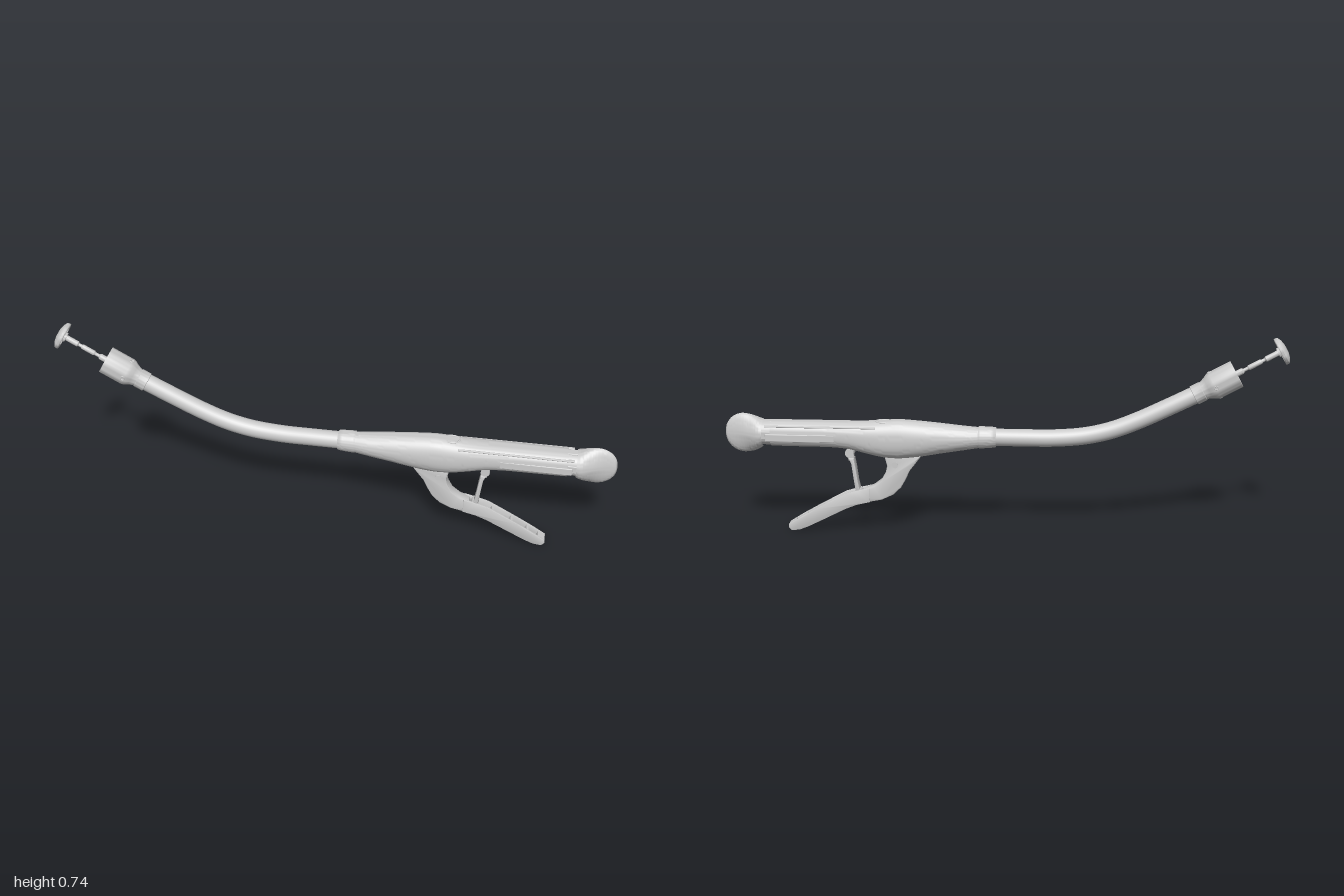
import * as THREE from 'three';
import { toCreasedNormals } from 'three/addons/utils/BufferGeometryUtils.js';
import { RoundedBoxGeometry } from 'three/addons/geometries/RoundedBoxGeometry.js';

const grey = new THREE.MeshStandardMaterial({ color: 0xcccccc });
const greyDouble = new THREE.MeshStandardMaterial({ color: 0xcccccc, side: THREE.DoubleSide });
const V2 = (p) => new THREE.Vector2(...p);

function add(parent, name, geometry, material = grey) {
  const mesh = new THREE.Mesh(geometry, material);
  mesh.name = name;
  parent.add(mesh);
  return mesh;
}

function lathe(points, segments = 40) {
  return toCreasedNormals(new THREE.LatheGeometry(points.map(V2), segments), 0.6);
}

// Lofts superellipse sections along x; each row is [x, bottom, top, half width, exponent].
function loft(rows, steps = 60, around = 48) {
  const a = new THREE.CatmullRomCurve3(rows.map((r) => new THREE.Vector3(r[0], r[1], r[2])), false, 'catmullrom', 0.4);
  const b = new THREE.CatmullRomCurve3(rows.map((r) => new THREE.Vector3(r[3], r[4], 0)), false, 'catmullrom', 0.4);
  const pos = [], idx = [];
  const power = (v, n) => Math.sign(v) * Math.abs(v) ** (2 / n);
  for (let i = 0; i <= steps; i++) {
    const p = a.getPoint(i / steps), q = b.getPoint(i / steps);
    for (let j = 0; j < around; j++) {
      const t = (j / around) * Math.PI * 2;
      pos.push(p.x, (p.y + p.z) / 2 + ((p.z - p.y) / 2) * power(Math.sin(t), q.y), q.x * power(Math.cos(t), q.y));
      if (i === steps) continue;
      const k = i * around + j, m = i * around + ((j + 1) % around);
      idx.push(k, k + around, m, m, k + around, m + around);
    }
  }
  // end caps
  for (const [row, end] of [[rows[0], 0], [rows[rows.length - 1], steps]]) {
    const c = pos.length / 3;
    pos.push(row[0], (row[1] + row[2]) / 2, 0);
    for (let j = 0; j < around; j++) {
      const k = end * around + j, m = end * around + ((j + 1) % around);
      idx.push(c, ...(end ? [k, m] : [m, k]));
    }
  }
  const g = new THREE.BufferGeometry();
  g.setAttribute('position', new THREE.Float32BufferAttribute(pos, 3));
  g.setIndex(idx);
  return toCreasedNormals(g, 0.7);
}

// Extrudes a smooth xy outline between z0 and z1.
function plate(points, z0, z1, bevel = 0.003) {
  const shape = new THREE.Shape(points.map(V2));
  const g = new THREE.ExtrudeGeometry(shape, {
    depth: z1 - z0 - 2 * bevel, bevelEnabled: bevel > 0, bevelSize: bevel, bevelThickness: bevel, bevelOffset: -bevel, bevelSegments: 2,
  });
  g.translate(0, 0, z0 + bevel);
  return toCreasedNormals(g, 0.6);
}

// Head, shaft and anvil share one tilted axis.
function createHead() {
  const head = new THREE.Group();
  head.name = 'headAssembly';
  head.position.set(-0.69, 0.546, 0);
  head.rotation.z = THREE.MathUtils.degToRad(61);

  add(head, 'headShell', lathe([[0.031, -0.022], [0.035, -0.021], [0.035, 0.012], [0.033, 0.014], [0.034, 0.02],
    [0.04, 0.034], [0.047, 0.046], [0.05, 0.058], [0.05, 0.143], [0.045, 0.143], [0.045, 0.07], [0, 0.07]]), greyDouble);
  add(head, 'innerRing', lathe([[0.03, 0.07], [0.036, 0.07], [0.036, 0.134], [0.03, 0.134], [0.03, 0.07]]), greyDouble);
  for (let i = 0; i < 4; i++) {
    const port = new THREE.Group();
    port.name = 'headPort';
    port.rotation.y = (i * Math.PI) / 2;
    add(port, 'portRim', new THREE.TorusGeometry(0.007, 0.002, 8, 20)).position.set(0, 0.06, 0.0495);
    head.add(port);
  }
  add(head, 'shaft', lathe([[0.011, 0.07], [0.011, 0.165], [0.006, 0.17], [0.006, 0.185], [0.009, 0.19], [0.009, 0.235],
    [0.006, 0.24], [0.006, 0.25], [0.01, 0.255], [0.01, 0.312]], 20), greyDouble);
  add(head, 'anvil', lathe([[0.01, 0.3], [0.017, 0.3], [0.017, 0.313], [0.034, 0.313], [0.034, 0.307], [0.048, 0.307],
    [0.05, 0.31], [0.05, 0.317], [0.046, 0.322], [0.035, 0.328], [0.018, 0.332], [0, 0.333]]), greyDouble);
  return head;
}

function createTrigger() {
  const trigger = new THREE.Group();
  trigger.name = 'trigger';
  // upper arm below the body
  add(trigger, 'triggerArm', plate([[0.29, 0.3], [0.312, 0.27], [0.333, 0.243], [0.347, 0.212], [0.365, 0.18], [0.393, 0.152], [0.436, 0.131],
    [0.49, 0.12], [0.51, 0.135], [0.5, 0.168], [0.465, 0.183], [0.437, 0.205], [0.42, 0.236], [0.415, 0.26], [0.425, 0.3]], -0.021, 0.021, 0.006));
  // hollow grip: floor, side walls and end
  const bottom = [[0.48, 0.122], [0.53, 0.11], [0.57, 0.094], [0.65, 0.053], [0.71, 0.023], [0.742, 0.01], [0.772, 0.007]];
  const top = [[0.783, 0.018], [0.782, 0.03], [0.73, 0.063], [0.676, 0.094], [0.62, 0.125], [0.57, 0.152], [0.53, 0.164], [0.48, 0.176]];
  const floor = [[0.78, 0.016], [0.75, 0.028], [0.66, 0.075], [0.58, 0.117], [0.53, 0.135], [0.48, 0.147]];
  add(trigger, 'gripFloor', plate([...bottom, ...floor], -0.018, 0.018, 0));
  for (const [z0, z1] of [[0.014, 0.022], [-0.022, -0.014]]) add(trigger, 'gripWall', plate([...bottom, ...top], z0, z1, 0.002));
  add(trigger, 'gripEnd', plate([[0.75, 0.012], [0.772, 0.007], [0.783, 0.018], [0.782, 0.03], [0.755, 0.045]], -0.018, 0.018, 0));
  for (const x of [0.58, 0.65, 0.71]) {
    const rib = add(trigger, 'gripRib', new THREE.BoxGeometry(0.008, 0.03, 0.032));
    rib.position.set(x, 0.123 - (x - 0.58) * 0.53, 0);
    rib.rotation.z = -0.5;
  }
  const pin = add(trigger, 'pivotPin', new THREE.CylinderGeometry(0.011, 0.011, 0.048, 24));
  pin.position.set(0.385, 0.265, 0);
  pin.rotation.x = Math.PI / 2;
  return trigger;
}

// Safety latch between body and grip
function createLatch() {
  const latch = new THREE.Group();
  latch.name = 'safetyLatch';
  add(latch, 'latchBar', plate([[0.513, 0.15], [0.53, 0.15], [0.537, 0.2], [0.545, 0.265], [0.553, 0.285], [0.535, 0.285], [0.529, 0.25], [0.523, 0.2]], -0.019, 0.019, 0.003));
  add(latch, 'latchStem', new RoundedBoxGeometry(0.022, 0.06, 0.018, 2, 0.004)).position.set(0.546, 0.303, 0);
  for (const [x, y, r, w] of [[0.55, 0.305, 0.016, 0.04], [0.521, 0.157, 0.014, 0.036]]) {
    const hinge = add(latch, 'latchHinge', new THREE.CylinderGeometry(r, r, w, 24));
    hinge.position.set(x, y, 0);
    hinge.rotation.x = Math.PI / 2;
  }
  return latch;
}

export function createModel() {
  const model = new THREE.Group();
  model.name = 'curvedInstrument';
  model.add(createHead(), createTrigger(), createLatch());

  // curved neck
  const path = new THREE.CatmullRomCurve3([[-0.7, 0.551], [-0.59, 0.495], [-0.47, 0.437], [-0.38, 0.402], [-0.29, 0.381],
    [-0.18, 0.371], [-0.08, 0.37], [0.03, 0.37]].map(([x, y]) => new THREE.Vector3(x, y, 0)));
  add(model, 'neckTube', new THREE.TubeGeometry(path, 80, 0.031, 32));
  add(model, 'neckCollar', loft([[0.022, 0.336, 0.404, 0.034, 2], [0.03, 0.333, 0.407, 0.037, 2], [0.078, 0.329, 0.409, 0.039, 2], [0.086, 0.331, 0.407, 0.038, 2]], 12));

  // handle body
  add(model, 'handleBody', loft([[0.08, 0.331, 0.405, 0.037, 2], [0.14, 0.321, 0.41, 0.044, 2], [0.22, 0.308, 0.418, 0.049, 2.1],
    [0.3, 0.294, 0.425, 0.052, 2.2], [0.37, 0.287, 0.429, 0.053, 2.3], [0.43, 0.291, 0.425, 0.053, 2.4], [0.49, 0.305, 0.421, 0.052, 2.5],
    [0.55, 0.32, 0.42, 0.051, 2.5], [0.62, 0.326, 0.42, 0.05, 2.5], [0.74, 0.327, 0.42, 0.049, 2.5], [0.83, 0.328, 0.42, 0.048, 2.5]], 90));
  add(model, 'handleCollar', loft([[0.82, 0.331, 0.417, 0.044, 2.3], [0.85, 0.331, 0.417, 0.044, 2.3], [0.868, 0.331, 0.417, 0.044, 2.3]], 8));
  for (const side of [1, -1]) {
    add(model, 'sidePanel', new RoundedBoxGeometry(0.25, 0.028, 0.012, 2, 0.003)).position.set(0.722, 0.366, side * 0.0445);
    add(model, 'sideSeam', new RoundedBoxGeometry(0.4, 0.006, 0.012, 2, 0.002)).position.set(0.65, 0.406, side * 0.0375);
    add(model, 'collarTab', new RoundedBoxGeometry(0.04, 0.03, 0.01, 2, 0.003)).position.set(0.843, 0.374, side * 0.042);
  }
  add(model, 'topTab', new RoundedBoxGeometry(0.04, 0.01, 0.03, 2, 0.003)).position.set(0.845, 0.415, 0);

  // oval window on top
  const oval = add(model, 'topWindow', new THREE.TorusGeometry(0.022, 0.003, 10, 36));
  oval.rotation.x = Math.PI / 2;
  oval.scale.x = 1.25;
  oval.position.set(0.425, 0.422, 0);

  // flattened turning knob
  add(model, 'turningKnob', loft([[0.86, 0.325, 0.422, 0.05, 2], [0.872, 0.318, 0.426, 0.051, 2], [0.89, 0.308, 0.435, 0.045, 1.8],
    [0.912, 0.302, 0.442, 0.036, 1.6], [0.935, 0.3, 0.445, 0.027, 1.6], [0.957, 0.305, 0.44, 0.02, 1.7], [0.978, 0.318, 0.427, 0.015, 1.9],
    [0.993, 0.338, 0.407, 0.011, 2], [0.999, 0.358, 0.387, 0.006, 2], [1.0, 0.37, 0.375, 0.001, 2]], 50));
  return model;
}
